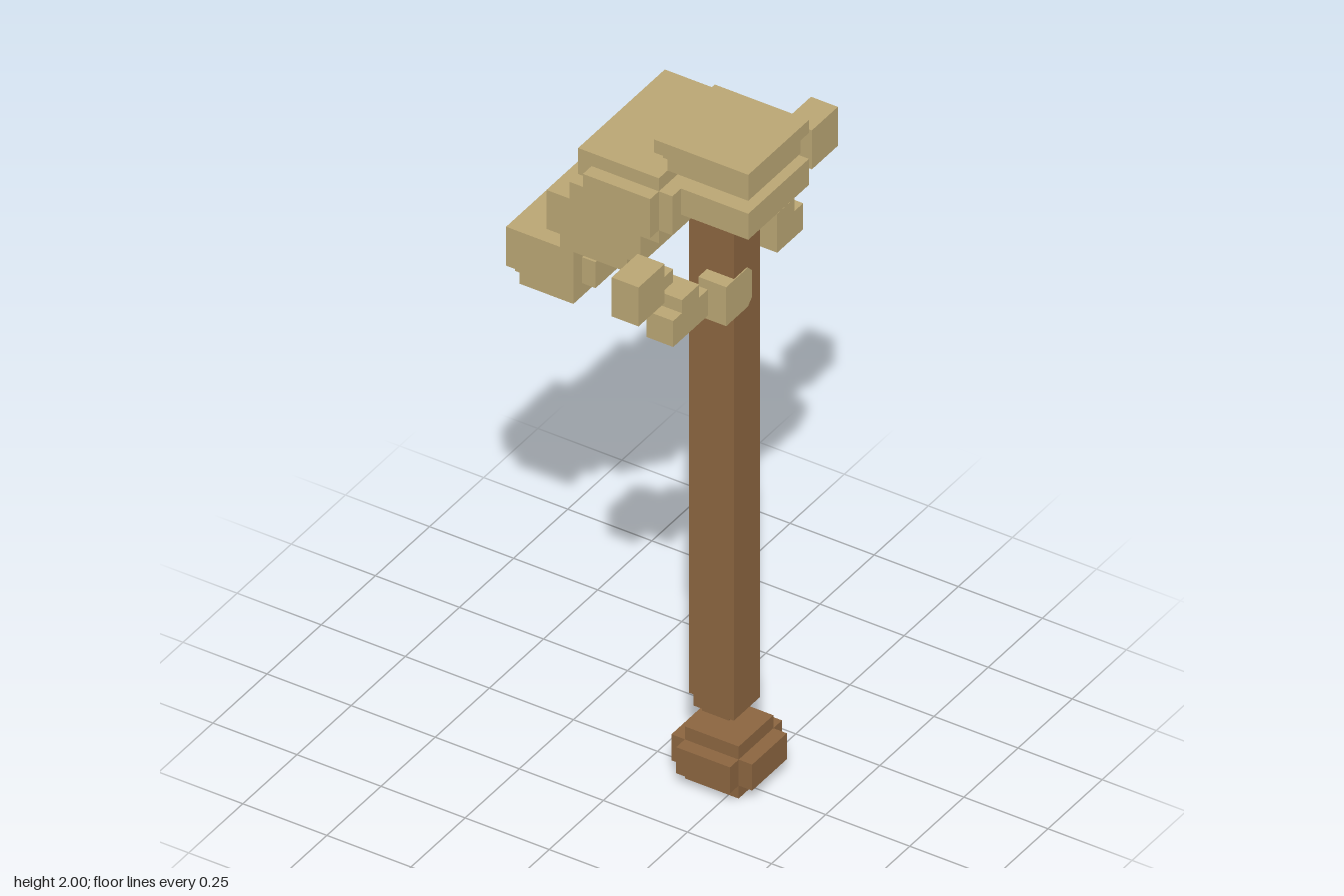
import * as THREE from 'three';

export function createModel() {
  const model = new THREE.Group();
  const bark = new THREE.MeshStandardMaterial({ color: 0x8b6540 });
  bark.name = 'bark';
  const leaf = new THREE.MeshStandardMaterial({ color: 0xbaa674 });
  leaf.name = 'dryLeaf';

  // A named part made of blocks, each given as [x0, x1, y0, y1, z0, z1]
  function part(name, material, blocks) {
    const group = new THREE.Group();
    group.name = name;
    blocks.forEach(([x0, x1, y0, y1, z0, z1], i) => {
      const mesh = new THREE.Mesh(new THREE.BoxGeometry(x1 - x0, y1 - y0, z1 - z0), material);
      mesh.position.set((x0 + x1) / 2, (y0 + y1) / 2, (z0 + z1) / 2);
      mesh.name = `${name}Block${i + 1}`;
      group.add(mesh);
    });
    model.add(group);
    return group;
  }

  // Root ball with stepped corners, and the thin neck above it
  part('rootBall', bark, [
    [0.12, 0.28, 0, 0.16, -0.10, 0.06],
    [0.08, 0.32, 0.04, 0.12, -0.10, 0.06],
    [0.12, 0.28, 0.04, 0.12, -0.14, 0.10],
  ]);
  part('neck', bark, [[0.12, 0.20, 0.16, 0.20, -0.10, -0.02]]);

  // Trunk with ridges on two sides, and the stem that carries the top
  part('trunk', bark, [
    [0.12, 0.24, 0.20, 1.80, -0.10, 0.02],
    [0.08, 0.12, 0.20, 1.74, -0.10, -0.02],
    [0.12, 0.20, 0.20, 1.78, -0.14, -0.10],
  ]);
  part('topStem', bark, [[0.16, 0.20, 1.80, 1.92, -0.06, -0.02]]);

  // Two flat leaf slabs at the top; the upper one has two notched corners
  part('topLeaf', leaf, [
    [0.08, 0.36, 1.96, 2.00, -0.14, 0.14],
    [0.12, 0.32, 1.92, 1.96, -0.14, 0.14],
    [0.08, 0.12, 1.92, 1.96, -0.14, 0.10],
    [0.32, 0.36, 1.92, 1.96, -0.10, 0.14],
  ]);
  part('secondLeaf', leaf, [[0.08, 0.36, 1.80, 1.88, -0.14, 0.14]]);

  // Drooping frond: three clumps stepping down and outward
  part('upperFrond', leaf, [
    [-0.12, 0.12, 1.72, 1.92, -0.22, 0.18],
    [-0.08, 0.12, 1.76, 1.88, -0.26, 0.22],
    [-0.12, -0.08, 1.76, 1.84, -0.26, 0.22],
    [0.12, 0.16, 1.76, 1.88, -0.22, 0.18],
  ]);
  part('middleFrond', leaf, [
    [-0.24, 0.04, 1.60, 1.72, -0.22, 0.14],
    [-0.20, 0.04, 1.60, 1.68, -0.26, 0.14],
    [-0.20, 0.00, 1.56, 1.60, -0.22, 0.14],
  ]);
  part('lowerFrond', leaf, [
    [-0.32, -0.16, 1.40, 1.56, -0.14, 0.14],
    [-0.36, -0.32, 1.44, 1.56, -0.10, 0.14],
    [-0.36, -0.32, 1.40, 1.44, -0.10, 0.10],
    [-0.16, -0.12, 1.44, 1.52, -0.10, 0.10],
  ]);

  // Side tufts in front of and behind the trunk
  part('frontTuft', leaf, [
    [0.16, 0.24, 1.52, 1.60, 0.14, 0.30],
    [0.16, 0.24, 1.60, 1.64, 0.18, 0.26],
    [0.16, 0.24, 1.72, 1.76, 0.30, 0.34],
    [0.16, 0.24, 1.68, 1.80, 0.34, 0.46],
  ]);
  part('backTuft', leaf, [
    [0.16, 0.24, 1.52, 1.60, -0.30, -0.18],
    [0.16, 0.24, 1.60, 1.64, -0.26, -0.18],
    [0.16, 0.24, 1.68, 1.80, -0.46, -0.34],
  ]);

  // Bud set into the trunk, its inner corners clipped (shape x runs along -z)
  const outline = [[-0.06, 1.44], [0.04, 1.44], [0.06, 1.46], [0.06, 1.54], [0.04, 1.56], [-0.06, 1.56]];
  const shape = new THREE.Shape(outline.map(([x, y]) => new THREE.Vector2(x, y)));
  const bud = new THREE.Mesh(new THREE.ExtrudeGeometry(shape, { depth: 0.083, bevelEnabled: false }), leaf);
  bud.name = 'trunkBud';
  bud.rotation.y = Math.PI / 2;
  bud.position.x = 0.16;
  model.add(bud);

  return model;
}
